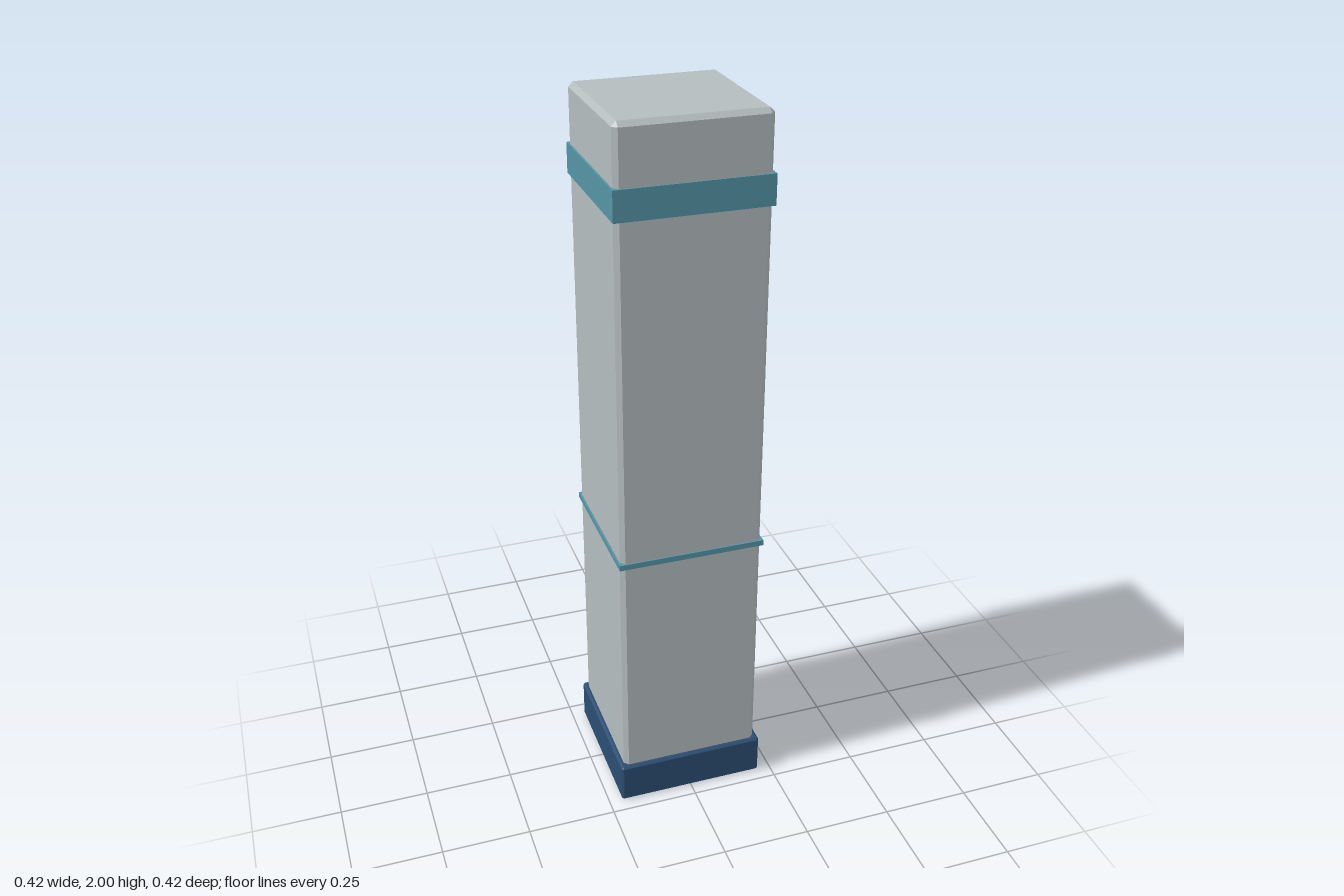
import * as THREE from 'three';
import { ConvexGeometry } from 'three/addons/geometries/ConvexGeometry.js';

// Square block of half-width h from y0 to y1 with every edge cut by a flat bevel b.
function bevelledBlock(h, y0, y1, b) {
  const points = [];
  const hy = (y1 - y0) / 2;
  const cy = (y0 + y1) / 2;
  for (const sx of [-1, 1]) for (const sy of [-1, 1]) for (const sz of [-1, 1]) {
    // Each corner becomes three points, one on each adjoining face
    for (const [ix, iy, iz] of [[0, b, b], [b, 0, b], [b, b, 0]]) {
      points.push(new THREE.Vector3(sx * (h - ix), cy + sy * (hy - iy), sz * (h - iz)));
    }
  }
  return new ConvexGeometry(points);
}

export function createModel() {
  const model = new THREE.Group();
  model.name = 'bollard';

  const paleGrey = new THREE.MeshStandardMaterial({ name: 'paleGrey', color: 0xb4bcbe });
  const navy = new THREE.MeshStandardMaterial({ name: 'navy', color: 0x2a4d71 });
  const teal = new THREE.MeshStandardMaterial({ name: 'teal', color: 0x5594a4 });

  const add = (name, geometry, material, y = 0) => {
    const mesh = new THREE.Mesh(geometry, material);
    mesh.name = name;
    mesh.position.y = y;
    model.add(mesh);
  };

  // Column, seated just inside the base
  add('column', bevelledBlock(0.2, 0.005, 2, 0.0125), paleGrey);

  // Foot block
  add('base', bevelledBlock(0.212, 0, 0.12, 0.006), navy);

  // Wide upper band and thin middle band
  add('upperBand', new THREE.BoxGeometry(0.41, 0.08, 0.41), teal, 1.804);
  add('middleBand', new THREE.BoxGeometry(0.41, 0.016, 0.41), teal, 0.805);

  return model;
}
